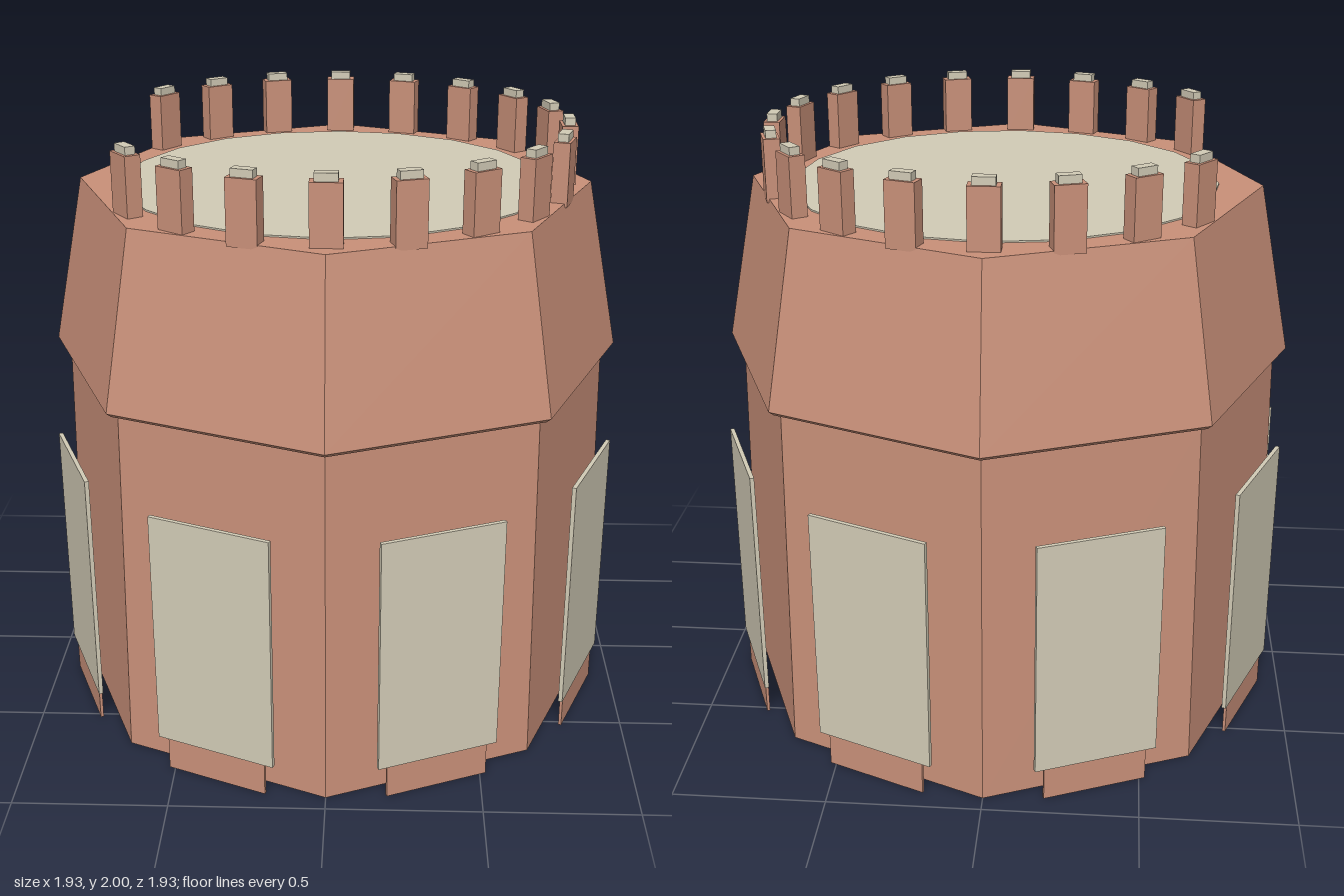
import * as THREE from 'three';

const brick = new THREE.MeshStandardMaterial({ color: 0xc99079, flatShading: true });
const pale = new THREE.MeshStandardMaterial({ color: 0xd2cbb6, flatShading: true });

function add(parent, name, geometry, material, x, y, z) {
  const mesh = new THREE.Mesh(geometry, material);
  mesh.name = name;
  mesh.position.set(x, y, z);
  parent.add(mesh);
  return mesh;
}

// Frustum standing between two heights
function drum(parent, name, rTop, rBottom, y0, y1, sides, material) {
  const geometry = new THREE.CylinderGeometry(rTop, rBottom, y1 - y0, sides);
  return add(parent, name, geometry, material, 0, (y0 + y1) / 2, 0);
}

// Box between two heights, its outward side facing +z of the pivot
function block(parent, name, width, depth, y0, y1, radius, material) {
  const geometry = new THREE.BoxGeometry(width, y1 - y0, depth);
  return add(parent, name, geometry, material, 0, (y0 + y1) / 2, radius);
}

function pivot(parent, name, angle) {
  const group = new THREE.Group();
  group.name = name;
  group.rotation.y = angle;
  parent.add(group);
  return group;
}

export function createModel() {
  const model = new THREE.Group();
  model.name = 'tower';

  // Octagonal wall, overhanging rim and tapering upper storey
  drum(model, 'lowerWall', 0.92, 0.943, 0, 1.205, 8, brick);
  drum(model, 'rim', 0.963, 0.945, 1.2, 1.215, 8, brick);
  drum(model, 'upperStorey', 0.85, 0.963, 1.215, 1.783, 8, brick);
  drum(model, 'roofDisc', 0.705, 0.705, 1.77, 1.788, 20, pale);

  // One thin panel with a narrower board behind it, standing off each face
  for (let i = 0; i < 8; i++) {
    const side = pivot(model, 'facePanel', (i + 0.5) * Math.PI / 4);
    block(side, 'panel', 0.415, 0.014, 0.115, 0.92, 0.934, pale);
    block(side, 'backingBoard', 0.35, 0.01, 0, 0.8, 0.929, brick);
  }

  // Ring of capped posts with a gap of three on the -x side
  for (let i = -8; i <= 8; i++) {
    const post = pivot(model, 'battlement', Math.PI / 2 + i * Math.PI / 10);
    block(post, 'post', 0.098, 0.053, 1.77, 1.975, 0.766, brick);
    block(post, 'postCap', 0.07, 0.034, 1.965, 2, 0.766, pale);
  }

  return model;
}
